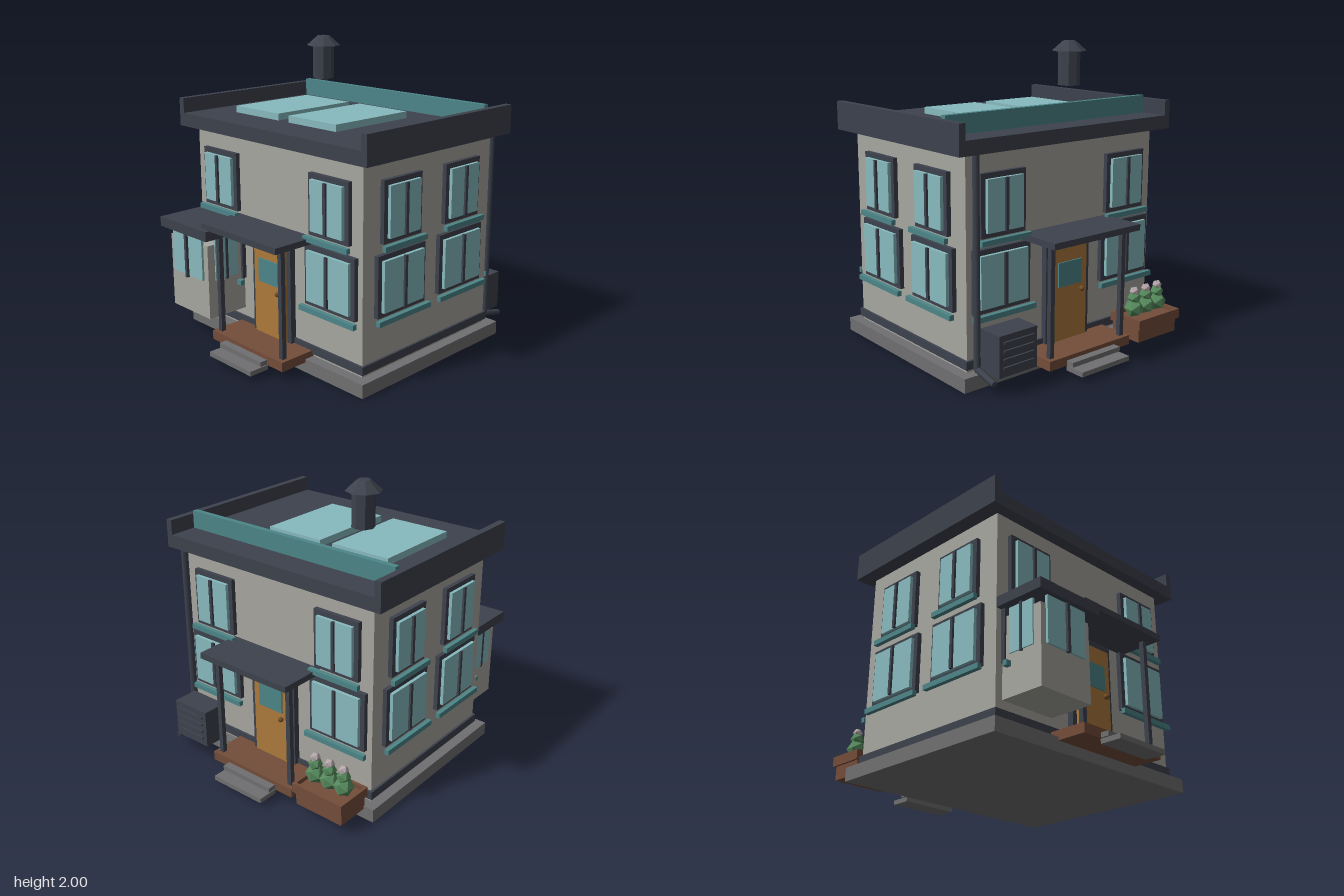
import * as THREE from 'three';

const mat = (name, color) => {
  const m = new THREE.MeshStandardMaterial({ color });
  m.name = name;
  return m;
};

export function createModel() {
  const wall = mat('wall plaster', 0xa8a7a0);
  const trim = mat('dark trim', 0x3d424d);
  const glass = mat('pale glass', 0x88bbbf);
  const teal = mat('teal accent', 0x4d8689);
  const wood = mat('brown wood', 0x744d3a);
  const doorWood = mat('door wood', 0xad7a3b);
  const stone = mat('grey stone', 0x707072);
  const leaf = mat('leaf green', 0x568a5c);
  const bloom = mat('pale bloom', 0xb3a6a8);
  const brass = mat('dark brass', 0x76502a);

  const house = new THREE.Group();
  house.name = 'house';

  const add = (parent, name, geometry, material, x = 0, y = 0, z = 0) => {
    const m = new THREE.Mesh(geometry, material);
    m.name = name;
    m.position.set(x, y, z);
    parent.add(m);
    return m;
  };
  // box given by its minimum and maximum on each axis
  const box = (parent, name, material, x0, x1, y0, y1, z0, z1) =>
    add(parent, name, new THREE.BoxGeometry(x1 - x0, y1 - y0, z1 - z0), material,
      (x0 + x1) / 2, (y0 + y1) / 2, (z0 + z1) / 2);
  // group whose local +z points out of a wall
  const face = (name, angle, distance) => {
    const g = new THREE.Group();
    g.name = name;
    g.rotation.y = angle;
    g.position.set(Math.sin(angle) * distance, 0, Math.cos(angle) * distance);
    house.add(g);
    return g;
  };

  // main volume
  box(house, 'foundation', stone, -0.845, 0.845, 0, 0.09, -0.67, 0.67);
  box(house, 'walls', wall, -0.775, 0.775, 0.09, 1.42, -0.6, 0.6);
  box(house, 'plinthBand', trim, -0.79, 0.79, 0.11, 0.165, -0.615, 0.615);

  // roof
  box(house, 'roofDeck', trim, -0.875, 0.875, 1.42, 1.51, -0.68, 0.68);
  for (const s of [-1, 1])
    add(house, 'parapet', new THREE.BoxGeometry(0.045, 0.1, 1.36), trim, s * 0.8525, 1.56, 0);
  box(house, 'roofRidge', teal, -0.83, 0.83, 1.51, 1.63, -0.485, -0.447);
  for (const x of [-0.385, 0.145])
    box(house, 'skylight', glass, x - 0.215, x + 0.215, 1.51, 1.555, -0.24, 0.41);

  // chimney
  add(house, 'chimneyPipe', new THREE.CylinderGeometry(0.074, 0.074, 0.23, 8).toNonIndexed(), trim, -0.39, 1.82, -0.21)
    .geometry.computeVertexNormals();
  add(house, 'chimneyCap', new THREE.CylinderGeometry(0.042, 0.117, 0.067, 8).toNonIndexed(), trim, -0.39, 1.9665, -0.21)
    .geometry.computeVertexNormals();

  // windows
  const addWindow = (wallFace, x, y0, y1, width, sillWidth) => {
    const g = new THREE.Group();
    g.name = 'window';
    g.position.x = x;
    wallFace.add(g);
    const w = width / 2, m = 0.033;
    box(g, 'windowFrame', trim, -w, w, y0, y1, 0, 0.03);
    box(g, 'windowGlass', glass, -w + m, w - m, y0 + m, y1 - m, 0.03, 0.052);
    box(g, 'mullion', trim, -0.011, 0.011, y0 + m, y1 - m, 0.045, 0.066);
    box(g, 'windowSill', teal, -sillWidth / 2, sillWidth / 2, y0 - 0.037, y0 - 0.003, 0.037, 0.067);
  };
  const front = face('frontFace', 0, 0.6);
  const back = face('backFace', Math.PI, 0.6);
  const leftSide = face('leftFace', Math.PI / 2, 0.775);
  const rightSide = face('rightFace', -Math.PI / 2, 0.775);
  for (const [f, x] of [[front, 0.515], [back, 0.515], [leftSide, 0.285], [rightSide, 0.285]])
    for (const s of [-1, 1]) {
      addWindow(f, s * x, 0.905, 1.295, 0.34, 0.38);
      addWindow(f, s * (x > 0.4 ? 0.522 : x), 0.445, 0.84, 0.43, 0.475);
    }

  // matching front and back entrances
  for (const f of [front, back]) {
    box(f, 'doorFrame', trim, -0.183, 0.183, 0.13, 0.82, 0, 0.04);
    box(f, 'doorPanel', doorWood, -0.148, 0.148, 0.135, 0.77, 0.03, 0.057);
    box(f, 'doorWindow', teal, -0.098, 0.098, 0.495, 0.655, 0.057, 0.066);
    add(f, 'doorKnob', new THREE.IcosahedronGeometry(0.018, 1), brass, 0.095, 0.455, 0.075);
    box(f, 'porchRoof', trim, -0.363, 0.363, 0.845, 0.885, 0, 0.315);
    box(f, 'porchDeck', wood, -0.348, 0.348, 0.068, 0.13, 0, 0.265);
    for (const s of [-1, 1])
      add(f, 'porchPost', new THREE.BoxGeometry(0.032, 0.715, 0.032), trim, s * 0.303, 0.4875, 0.219);
    box(f, 'upperStep', stone, -0.205, 0.205, 0.072, 0.103, 0.2, 0.318);
    box(f, 'lowerStep', stone, -0.205, 0.205, 0.036, 0.067, 0.26, 0.4);
  }

  // bay beside the front entrance
  const bay = new THREE.Group();
  bay.name = 'bay';
  house.add(bay);
  box(bay, 'bayBody', wall, -0.725, -0.325, 0.225, 0.73, 0.6, 0.9);
  box(bay, 'bayRoof', trim, -0.775, -0.275, 0.782, 0.848, 0.6, 0.947);
  box(bay, 'bayFrontGlass', glass, -0.685, -0.37, 0.485, 0.782, 0.895, 0.915);
  box(bay, 'bayFrontMullion', trim, -0.538, -0.516, 0.475, 0.782, 0.91, 0.932);
  for (const s of [-1, 1]) {
    const x = -0.525 + s * 0.2;
    box(bay, 'baySideGlass', glass, x - 0.008, x + 0.008, 0.485, 0.77, 0.66, 0.845);
    box(bay, 'baySideMullion', trim, x - 0.011, x + 0.011, 0.475, 0.782, 0.742, 0.762);
  }

  // cooling unit at the back
  box(house, 'coolingUnit', trim, 0.435, 0.725, 0.12, 0.38, -0.845, -0.67);
  for (let i = 0; i < 4; i++)
    box(house, 'coolingSlat', trim, 0.465, 0.695, 0.17 + i * 0.052, 0.184 + i * 0.052, -0.857, -0.845);

  // downpipe with its outlet
  const pipe = (name, a, b) => {
    const dir = b.clone().sub(a);
    const m = add(house, name, new THREE.CylinderGeometry(0.021, 0.021, dir.length(), 8), trim);
    m.position.copy(a).add(b).multiplyScalar(0.5);
    m.quaternion.setFromUnitVectors(new THREE.Vector3(0, 1, 0), dir.normalize());
  };
  const elbow = new THREE.Vector3(0.745, 0.125, -0.66);
  pipe('downpipe', elbow, new THREE.Vector3(0.745, 1.42, -0.66));
  pipe('downpipeOutlet', elbow, new THREE.Vector3(0.745, 0.085, -0.825));
  add(house, 'downpipeElbow', new THREE.SphereGeometry(0.021, 8, 6), trim, elbow.x, elbow.y, elbow.z);

  // planter with three shrubs
  box(house, 'planterBox', wood, -0.77, -0.41, 0.068, 0.195, -0.89, -0.66);
  for (const z of [-0.9, -0.66])
    box(house, 'planterRim', wood, -0.785, -0.395, 0.16, 0.225, z - 0.01, z + 0.01);
  for (const x of [-0.775, -0.405])
    box(house, 'planterRim', wood, x - 0.01, x + 0.01, 0.16, 0.225, -0.89, -0.67);
  for (const x of [-0.7, -0.59, -0.477]) {
    add(house, 'shrub', new THREE.IcosahedronGeometry(0.066, 0), leaf, x, 0.265, -0.78);
    add(house, 'shrubTop', new THREE.IcosahedronGeometry(0.046, 0), leaf, x, 0.335, -0.78);
    add(house, 'blossom', new THREE.IcosahedronGeometry(0.033, 0), bloom, x, 0.38, -0.78);
  }

  return house;
}
